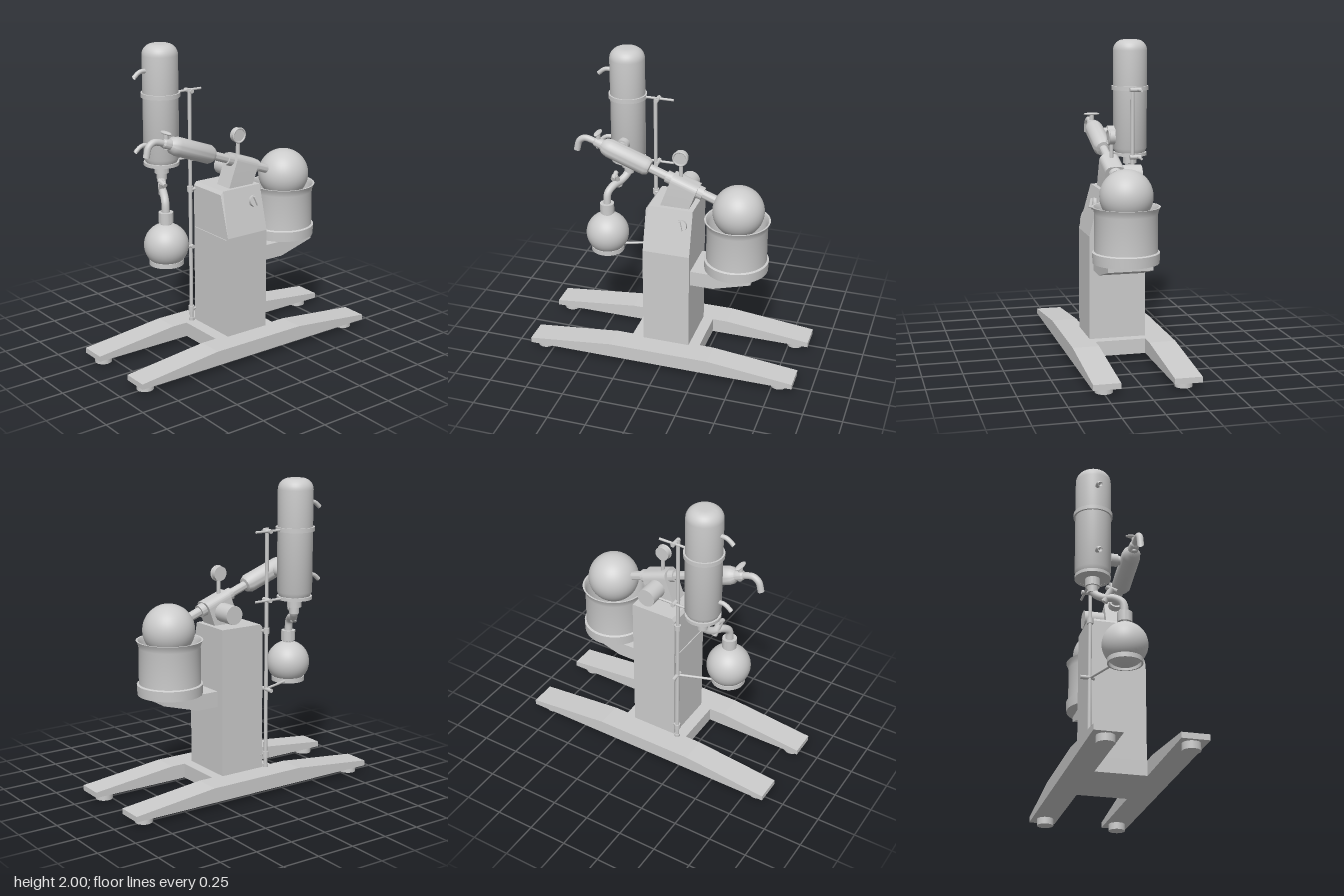
import * as THREE from 'three';
import { toCreasedNormals } from 'three/addons/utils/BufferGeometryUtils.js';

const mat = new THREE.MeshStandardMaterial({ color: 0xcccccc, side: THREE.DoubleSide });
const V = (x, y, z) => new THREE.Vector3(x, y, z);

function add(parent, name, geo, x = 0, y = 0, z = 0) {
  const m = new THREE.Mesh(geo, mat);
  m.name = name;
  m.position.set(x, y, z);
  parent.add(m);
  return m;
}
// Turned part from [radius, height] pairs
function turned(parent, name, pts, x = 0, y = 0, z = 0, seg = 40) {
  const geo = new THREE.LatheGeometry(pts.map(p => new THREE.Vector2(p[0], p[1])), seg);
  return add(parent, name, toCreasedNormals(geo, 0.6), x, y, z);
}
// Straight round bar between two points
function bar(parent, name, a, b, r, seg = 16) {
  const d = b.clone().sub(a);
  const m = add(parent, name, new THREE.CylinderGeometry(r, r, d.length(), seg));
  m.position.copy(a).addScaledVector(d, 0.5);
  m.quaternion.setFromUnitVectors(V(0, 1, 0), d.normalize());
  return m;
}
function tube(parent, name, pts, r) {
  const path = new THREE.CatmullRomCurve3(pts.map(p => V(...p)));
  return add(parent, name, new THREE.TubeGeometry(path, 28, r, 16));
}
function poly(pts) {
  return new THREE.Shape(pts.map(p => new THREE.Vector2(p[0], p[1])));
}
const extrude = (shape, depth) => new THREE.ExtrudeGeometry(shape, { depth, bevelEnabled: false, curveSegments: 16 });
// Side profile given as [z, y], extruded across x from x0 to x1
function sideExtrude(parent, name, pts, x0, x1) {
  const m = add(parent, name, extrude(poly(pts.map(([z, y]) => [-z, y])), x1 - x0), x0);
  m.rotation.y = Math.PI / 2;
  return m;
}

function base(g) {
  const profile = [[-0.89, 0.045], [0.89, 0.045], [0.89, 0.08], [0.33, 0.14], [-0.33, 0.14], [-0.89, 0.08]];
  for (const s of [-1, 1]) {
    sideExtrude(g, 'baseLeg', profile, s < 0 ? -0.33 : 0.163, s < 0 ? -0.16 : 0.33);
    for (const z of [-0.79, 0.815])
      add(g, 'foot', new THREE.CylinderGeometry(0.054, 0.054, 0.05, 24), s * 0.243, 0.025, z);
  }
  add(g, 'crossPlate', new THREE.BoxGeometry(0.33, 0.095, 0.46), 0, 0.0925, -0.005);
}

function column(g) {
  const shape = poly([[-0.177, 0.13], [0.185, 0.13], [0.185, 0.8], [0.11, 1.09], [-0.177, 1.09]]);
  add(g, 'column', extrude(shape, 0.29), 0, 0, -0.165);
  // Front slice with a bevelled top edge
  const slice = extrude(shape, 0.018), p = slice.attributes.position;
  for (let i = 0; i < p.count; i++)
    if (p.getZ(i) > 0.01 && p.getY(i) > 1.08) p.setY(i, 1.068);
  slice.computeVertexNormals();
  add(g, 'columnFront', slice, 0, 0, 0.125);
  add(g, 'frontPanel', new THREE.BoxGeometry(0.335, 0.645, 0.01), 0.004, 0.4675, 0.144);
  // Control knob on the sloping side
  const knob = new THREE.Group();
  knob.name = 'controlKnob';
  knob.position.set(0.135, 0.995, -0.098);
  knob.rotation.z = -Math.PI / 2 + 0.25;
  add(knob, 'knobDisc', new THREE.CylinderGeometry(0.038, 0.038, 0.024, 28), 0, 0.008, 0);
  add(knob, 'knobGrip', new THREE.BoxGeometry(0.06, 0.018, 0.014), 0, 0.026, 0).rotation.y = 0.3;
  g.add(knob);
}

function bath(g) {
  sideExtrude(g, 'bathArm', [[-0.16, 0.585], [-0.315, 0.585], [-0.56, 0.655], [-0.56, 0.685], [-0.16, 0.685]], -0.12, 0.16);
  turned(g, 'heatingBath', [[0, 0.685], [0.204, 0.685], [0.207, 0.75], [0.194, 0.756], [0.193, 0.985],
    [0.199, 1.01], [0.209, 1.03], [0.198, 1.03], [0.184, 1.005], [0.182, 0.76], [0, 0.76]], 0.017, 0, -0.43, 56);
  add(g, 'evaporatingFlask', new THREE.SphereGeometry(0.164, 40, 28), 0.017, 1.092, -0.435);
}

// Everything along the tilted rotation axis; local y runs along it, local -z is up
function drive(g) {
  const axis = new THREE.Group();
  axis.name = 'rotationAxis';
  axis.position.set(0.02, 1.093, -0.435);
  axis.rotation.x = Math.PI / 2 - 0.357;
  g.add(axis);
  turned(axis, 'flaskNeck', [[0.029, 0.1], [0.029, 0.245], [0.042, 0.245], [0.042, 0.29]]);
  const s = new THREE.Shape();
  s.moveTo(-0.064, -0.18);
  s.lineTo(0.064, -0.18);
  s.lineTo(0.064, 0);
  s.quadraticCurveTo(0.064, 0.046, 0.018, 0.046);
  s.lineTo(-0.018, 0.046);
  s.quadraticCurveTo(-0.064, 0.046, -0.064, 0);
  add(axis, 'driveHousing', toCreasedNormals(extrude(s, 0.177), 0.5), 0, 0.283, 0).rotation.x = -Math.PI / 2;
  turned(axis, 'vapourTube', [[0.04, 0.455], [0.04, 0.5], [0.028, 0.5], [0.028, 0.64]]);
  turned(axis, 'vapourHead', [[0.028, 0.615], [0.048, 0.62], [0.06, 0.645], [0.06, 0.9], [0.052, 0.935],
    [0.034, 0.955], [0.03, 1.0], [0.022, 1.01]]);
  // Motor beside the housing
  bar(g, 'motor', V(-0.17, 1.17, -0.07), V(-0.03, 1.17, -0.07), 0.06, 32);
  // Pressure gauge
  bar(g, 'gaugeStem', V(0.018, 1.22, -0.06), V(0.018, 1.37, -0.06), 0.013);
  bar(g, 'gaugeBody', V(0, 1.407, -0.058), V(0.036, 1.407, -0.058), 0.046, 32);
  add(g, 'gaugeRim', new THREE.TorusGeometry(0.045, 0.006, 10, 36), 0.036, 1.407, -0.058).rotation.y = Math.PI / 2;
  // Feed spout and its stopcock
  tube(g, 'feedSpout', [[0.02, 1.42, 0.46], [0.02, 1.45, 0.53], [0.02, 1.457, 0.575], [0.02, 1.435, 0.61], [0.02, 1.37, 0.63]], 0.021);
  bar(g, 'stopcockStem', V(0.02, 1.4, 0.485), V(0.02, 1.5, 0.485), 0.015);
  const h = add(g, 'stopcockHandle', new THREE.SphereGeometry(1, 24, 12), 0.02, 1.503, 0.485);
  h.scale.set(0.055, 0.01, 0.02);
  // Side joint to the condenser
  bar(g, 'sideJoint', V(-0.13, 1.395, 0.355), V(0.02, 1.395, 0.355), 0.029, 24);
  bar(g, 'sideJointCollar', V(-0.1, 1.395, 0.355), V(-0.055, 1.395, 0.355), 0.04, 24);
}

function condenser(g) {
  const x = -0.213, z = 0.365;
  const prof = [[0.038, 1.18], [0.046, 1.182], [0.046, 1.235], [0.09, 1.236], [0.098, 1.255], [0.112, 1.285]];
  for (let i = 0; i <= 8; i++) {
    const a = i / 8 * Math.PI / 2;
    prof.push([0.042 + 0.07 * Math.cos(a), 1.93 + 0.07 * Math.sin(a)]);
  }
  turned(g, 'condenser', [...prof, [0, 2]], x, 0, z, 48);
  turned(g, 'condenserBand', [[0.11, 1.67], [0.123, 1.67], [0.123, 1.697], [0.11, 1.697]], x, 0, z, 48);
  turned(g, 'condenserLowerRing', [[0.09, 1.235], [0.112, 1.235], [0.112, 1.256], [0.09, 1.256]], x, 0, z, 48);
  for (const y of [1.84, 1.375])
    tube(g, 'hosePort', [[x, y, 0.46], [x, y + 0.003, 0.5], [x, y - 0.006, 0.525], [x, y - 0.033, 0.558]], 0.014);
}

function receiver(g) {
  const x = -0.034, z = 0.458;
  bar(g, 'condenserOutlet', V(-0.213, 1.14, 0.365), V(-0.213, 1.19, 0.365), 0.032, 24);
  tube(g, 'receiverTube', [[-0.213, 1.19, 0.365], [-0.205, 1.14, 0.37], [-0.16, 1.1, 0.4],
    [-0.09, 1.085, 0.435], [-0.045, 1.05, 0.455], [x, 0.96, z]], 0.025);
  bar(g, 'drainValve', V(-0.15, 1.065, 0.41), V(-0.11, 1.15, 0.43), 0.021);
  bar(g, 'drainValveHandle', V(-0.145, 1.158, 0.43), V(-0.078, 1.138, 0.43), 0.015);
  turned(g, 'receiverNeck', [[0.035, 0.88], [0.035, 0.915], [0.046, 0.918], [0.046, 0.985], [0.022, 0.985]], x, 0, z);
  add(g, 'receivingFlask', new THREE.SphereGeometry(0.14, 40, 28), x, 0.772, z);
  turned(g, 'receiverRing', [[0.098, 0.648], [0.108, 0.648], [0.108, 0.678], [0.098, 0.678], [0.098, 0.648]], x, 0, z);
}

function stand(g) {
  const x = -0.18, z = 0.17;
  bar(g, 'supportRod', V(x, 0.14, z), V(x, 1.7, z), 0.012);
  for (const y of [0.225, 1.045]) {
    bar(g, 'rodBracket', V(x, y - 0.018, z), V(x, y + 0.018, z), 0.02);
    bar(g, 'rodBracketPin', V(x + 0.012, y, z), V(x + 0.012, y, 0.13), 0.01);
  }
  bar(g, 'rodFoot', V(x, 0.14, z), V(x, 0.16, z), 0.018);
  // Clamps holding the condenser
  for (const y of [1.683, 1.246]) {
    bar(g, 'condenserClampArm', V(-0.213, y, 0.06), V(-0.213, y, 0.26), 0.008);
    bar(g, 'condenserClamp', V(-0.235, y, z - 0.008), V(-0.16, y, z - 0.008), 0.014);
  }
  // Clamp holding the receiving flask
  bar(g, 'receiverClampArm', V(x, 0.662, 0.16), V(-0.1, 0.662, 0.38), 0.008);
  bar(g, 'receiverClamp', V(-0.24, 0.662, z), V(-0.15, 0.662, z), 0.013);
}

export function createModel() {
  const g = new THREE.Group();
  g.name = 'rotaryEvaporator';
  for (const build of [base, column, bath, drive, condenser, receiver, stand]) build(g);
  return g;
}
